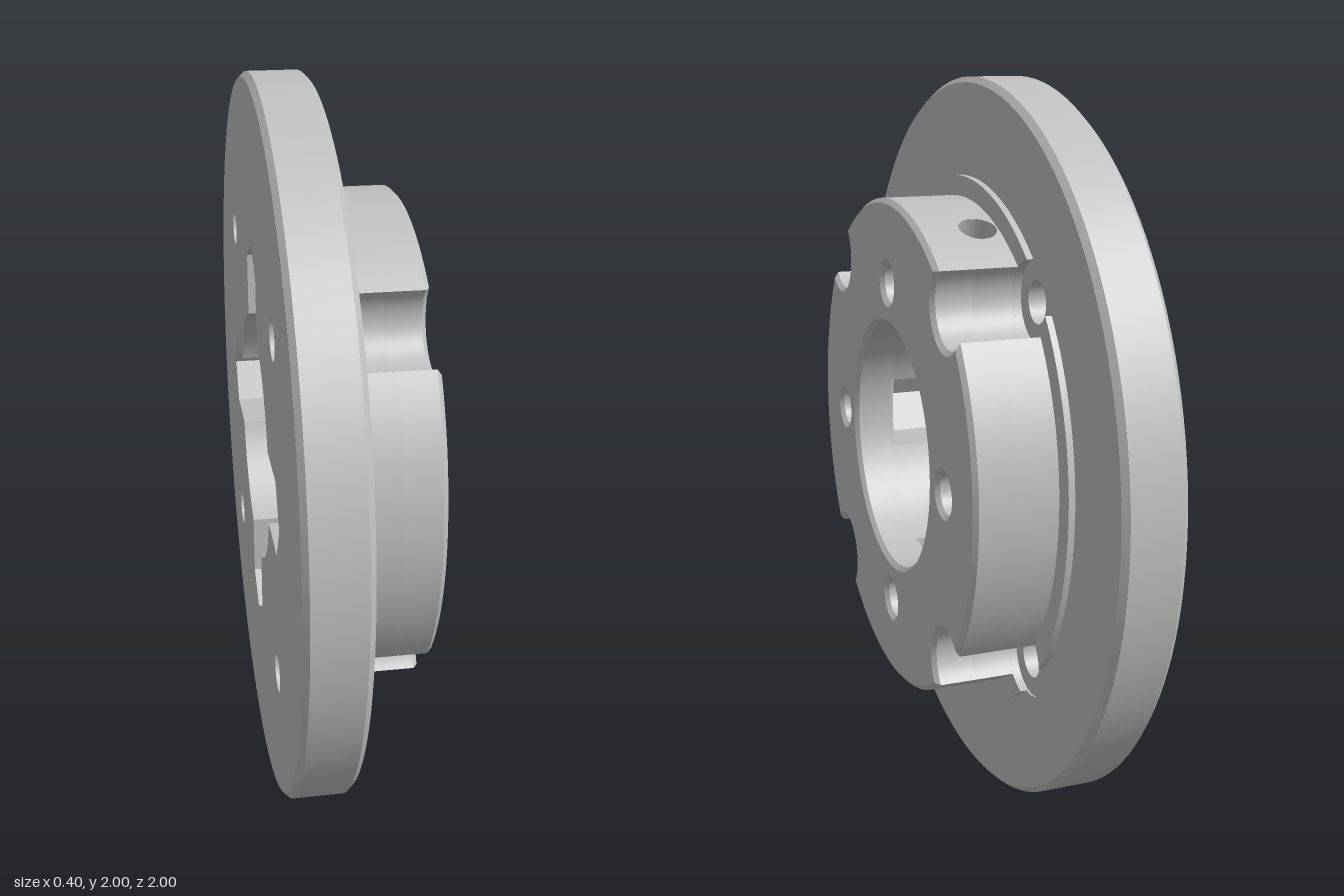
import * as THREE from 'three';
import { toCreasedNormals } from 'three/addons/utils/BufferGeometryUtils.js';

// The part is built along local z, then turned so that axis points to +x.
const HUB_R = 0.685, BORE_R = 0.345, BOLT_D = 0.672, SEAT_R = 0.105, PIN_R = 0.055;
const BACK = -0.2, SEAT = -0.041, FACE = -0.035, LIP = -0.018, FLOOR = 0.09, FRONT = 0.2;
const ARC_N = 36;
const polar = (r, a) => new THREE.Vector2(r * Math.cos(a), r * Math.sin(a));

function arc(c, r, a0, a1, n) {
  return Array.from({ length: n + 1 }, (_, i) => polar(r, a0 + (a1 - a0) * i / n).add(c));
}
const circle = (c, r, n = 48) => arc(c, r, 0, Math.PI * 2, n).slice(0, n);
const ORIGIN = new THREE.Vector2();
const ring4 = (d, start, r) => [0, 1, 2, 3].map(k => circle(polar(d, start + k * Math.PI / 2), r, 32));

// Half angle that a bolt seat bites out of a circle of radius R
const biteAngle = R => Math.acos((BOLT_D ** 2 + R ** 2 - SEAT_R ** 2) / (2 * BOLT_D * R));

// Circle with four round bites at the bolt seats
function scalloped(R) {
  const d = biteAngle(R), phi = Math.atan2(R * Math.sin(d), R * Math.cos(d) - BOLT_D);
  const pts = [];
  for (let k = 0; k < 4; k++) {
    const a = Math.PI / 4 + k * Math.PI / 2, b = a + Math.PI / 2;
    pts.push(...arc(ORIGIN, R, a + d, b - d, ARC_N));
    pts.push(...arc(polar(BOLT_D, b), SEAT_R, b - phi, b - 2 * Math.PI + phi, 24).slice(1, -1));
  }
  return pts;
}

// Centre bore with four pointed keyways
function keyedBore() {
  const w = 0.105, s = Math.asin(w / BORE_R), pts = [];
  for (let k = 0; k < 4; k++) {
    const a = k * Math.PI / 2;
    for (const [x, y] of [[0.5, -w], [0.565, 0], [0.5, w]]) {
      pts.push(new THREE.Vector2(x, y).rotateAround(ORIGIN, a));
    }
    pts.push(...arc(ORIGIN, BORE_R, a + s, a + Math.PI / 2 - s, 18));
  }
  return pts;
}

function slab(outline, holes, z0, z1, bevel = 0) {
  const shape = new THREE.Shape(outline);
  shape.holes = holes.map(h => new THREE.Path(h));
  const geo = new THREE.ExtrudeGeometry(shape, {
    depth: z1 - z0 - bevel, bevelEnabled: bevel > 0, bevelSegments: 1,
    bevelThickness: bevel, bevelSize: bevel, bevelOffset: -bevel,
  });
  return toCreasedNormals(geo.translate(0, 0, z0), 0.4);
}

// Remove the outer wall of a slab between two angles
function openWall(geo, a0, a1) {
  const p = geo.attributes.position, pos = [], nor = [];
  for (let i = 0; i < p.count; i += 3) {
    const ids = [i, i + 1, i + 2];
    const zs = ids.map(j => p.getZ(j));
    const inside = ids.every(j => {
      const a = Math.atan2(p.getY(j), p.getX(j));
      return Math.hypot(p.getX(j), p.getY(j)) > HUB_R - 0.002 && a > a0 - 1e-3 && a < a1 + 1e-3;
    });
    if (inside && Math.max(...zs) - Math.min(...zs) > 0.01) continue;
    for (const j of ids) {
      pos.push(p.getX(j), p.getY(j), p.getZ(j));
      nor.push(...[0, 1, 2].map(c => geo.attributes.normal.getComponent(j, c)));
    }
  }
  const out = new THREE.BufferGeometry();
  out.setAttribute('position', new THREE.Float32BufferAttribute(pos, 3));
  out.setAttribute('normal', new THREE.Float32BufferAttribute(nor, 3));
  return out;
}

// Curved wall piece with a round hole, bent from a flat shape
function drilledWall(a0, a1, aHole, zHole, r) {
  const n = 6, pts = [];
  for (let i = 0; i <= n; i++) pts.push(new THREE.Vector2((a0 + (a1 - a0) * i / n) * HUB_R, LIP));
  for (let i = n; i >= 0; i--) pts.push(new THREE.Vector2((a0 + (a1 - a0) * i / n) * HUB_R, FLOOR));
  const shape = new THREE.Shape(pts);
  shape.holes = [new THREE.Path(circle(new THREE.Vector2(aHole * HUB_R, zHole), r, 32))];
  const geo = new THREE.ShapeGeometry(shape);
  const p = geo.attributes.position;
  for (let i = 0; i < p.count; i++) {
    const a = p.getX(i) / HUB_R, z = p.getY(i);
    p.setXYZ(i, HUB_R * Math.cos(a), HUB_R * Math.sin(a), z);
    geo.attributes.normal.setXYZ(i, Math.cos(a), Math.sin(a), 0);
  }
  return geo;
}

export function createModel() {
  const group = new THREE.Group();
  group.name = 'flange';
  const steel = new THREE.MeshStandardMaterial({ color: 0xbfbfbf, side: THREE.DoubleSide });
  steel.name = 'steel grey';
  const body = new THREE.Group();
  body.name = 'flangeBody';
  const add = (name, geo) => {
    const mesh = new THREE.Mesh(geo, steel);
    mesh.name = name;
    body.add(mesh);
    return mesh;
  };
  const key = keyedBore();
  const rimIn = 0.985;

  // Disc with bolt holes, shallow bolt seats and a chamfered rim
  add('disc', slab(circle(ORIGIN, rimIn, 128), [key, ...ring4(BOLT_D, Math.PI / 4, PIN_R)], BACK, SEAT));
  add('discFace', slab(circle(ORIGIN, rimIn, 128), [key, ...ring4(BOLT_D, Math.PI / 4, SEAT_R)], SEAT, FACE));
  const profile = [[rimIn, BACK], [1, BACK + 0.015], [1, FACE - 0.015], [rimIn, FACE]];
  const rim = new THREE.LatheGeometry(profile.map(([r, z]) => new THREE.Vector2(r, z)), 128);
  add('discRim', toCreasedNormals(rim.rotateX(Math.PI / 2), 0.4));

  // Raised lip around the hub
  add('lip', slab(scalloped(0.74), [key], FACE, LIP));

  // Hub: keyed lower part with a radial screw hole, and a chamfered front plate
  const d = biteAngle(HUB_R), start = Math.PI / 4 + d, step = (Math.PI / 2 - 2 * d) / ARC_N;
  const a0 = start + 4 * step, a1 = start + 10 * step;
  const aHole = Math.PI * 3 / 8, zHole = 0.036, rHole = 0.05;
  add('hub', openWall(slab(scalloped(HUB_R), [key], LIP, FLOOR), a0, a1));
  add('hubDrilledWall', drilledWall(a0, a1, aHole, zHole, rHole));
  add('hubFront', slab(scalloped(HUB_R),
    [circle(ORIGIN, BORE_R, 72), ...ring4(0.46, 0, PIN_R)], FLOOR, FRONT, 0.012));

  // Screw hole lining and its end
  const inner = 0.4, outer = HUB_R - 0.001;
  const lining = add('screwHole', new THREE.CylinderGeometry(rHole, rHole, outer - inner, 32, 1, true));
  const mid = polar((inner + outer) / 2, aHole);
  lining.position.set(mid.x, mid.y, zHole);
  lining.rotation.z = aHole - Math.PI / 2;
  const end = add('screwHoleEnd', new THREE.CircleGeometry(rHole, 32).rotateX(-Math.PI / 2));
  const tip = polar(inner, aHole);
  end.position.set(tip.x, tip.y, zHole);
  end.rotation.z = aHole - Math.PI / 2;

  body.rotation.y = Math.PI / 2;
  body.position.y = 1;
  group.add(body);
  return group;
}
